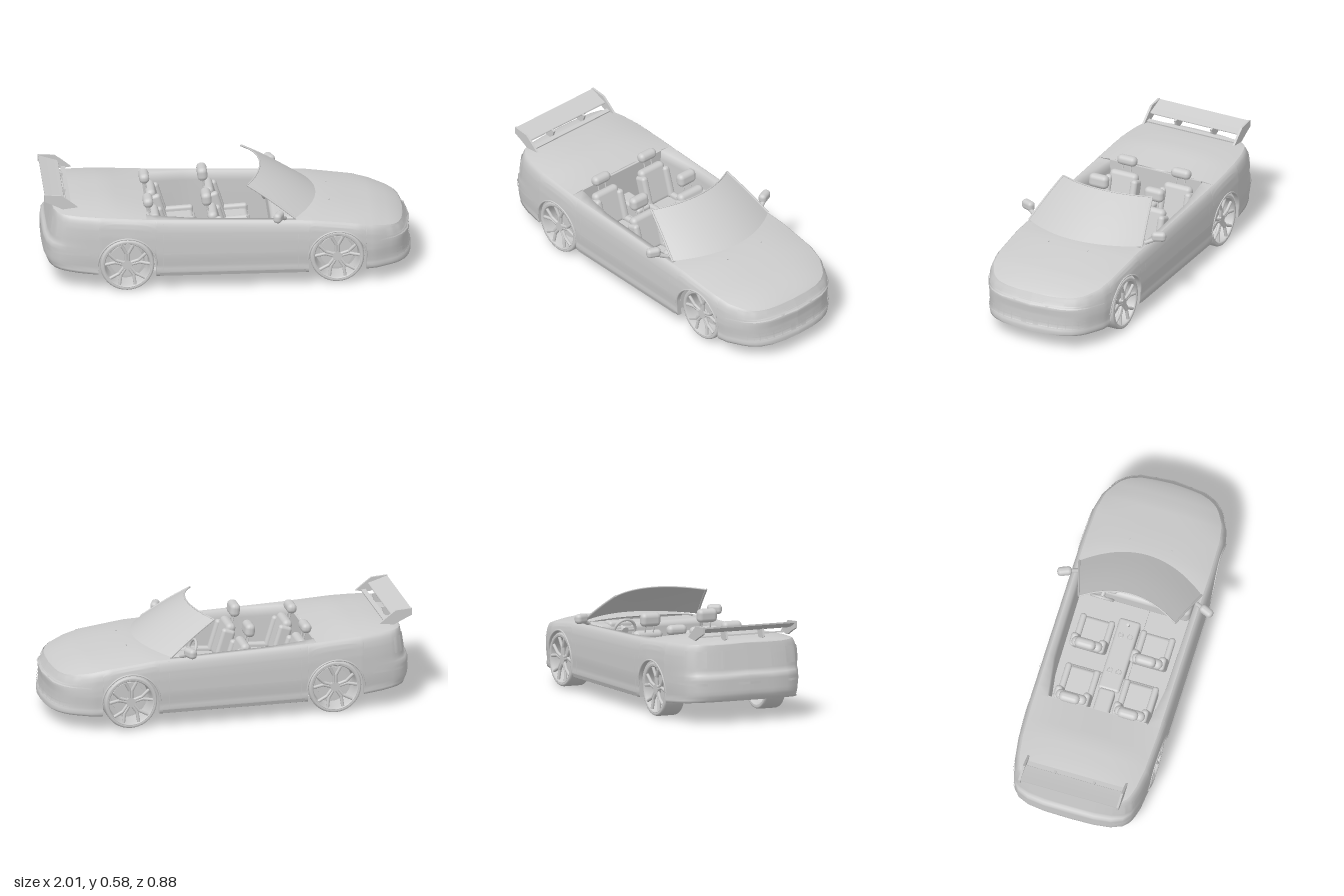
import * as THREE from 'three';
import { RoundedBoxGeometry } from 'three/addons/geometries/RoundedBoxGeometry.js';

const mat = new THREE.MeshStandardMaterial({ color: 0xcccccc, side: THREE.DoubleSide });
const SIDES = [1, -1];
const V = (x, y, z) => new THREE.Vector3(x, y, z);

// piecewise linear curve through [x, value] pairs
const curve = pts => x => {
  if (x <= pts[0][0]) return pts[0][1];
  for (let i = 1; i < pts.length; i++) {
    const [a, va] = pts[i - 1], [b, vb] = pts[i];
    if (x <= b) return va + (vb - va) * (x - a) / (b - a);
  }
  return pts[pts.length - 1][1];
};

// body curves along the length: half width, shoulder, crown, lower edge
const halfWidth = curve([[-1, 0], [-.997, .14], [-.985, .235], [-.96, .295], [-.92, .328], [-.85, .352], [-.7, .372], [-.5, .379],
  [.5, .379], [.7, .372], [.8, .352], [.9, .3], [.95, .25], [.98, .18], [.995, .1], [1, 0]]);
const shoulder = curve([[-1, .43], [-.95, .435], [-.7, .425], [-.45, .41], [-.2, .402], [.2, .39], [.45, .382], [.7, .352], [.85, .322], [.95, .306], [1, .302]]);
const crown = curve([[-1, .435], [-.96, .45], [-.8, .462], [-.65, .46], [-.45, .425], [.36, .405], [.48, .411], [.6, .398], [.8, .367], [.9, .341], [.96, .32], [1, .303]]);
const sill = curve([[-1, .125], [-.72, .1], [-.39, .085], [.42, .085], [1, .095]]);
const sideTuck = curve([[.085, .965], [.11, .99], [.13, .978], [.2, 1], [.5, 1]]);
const shoulderTuck = curve([[0, .925], [.008, .95], [.025, .975], [.05, .99], [.1, 1]]);
const noseX = curve([[.09, 0], [.12, 0], [.14, -.012], [.2, -.014], [.25, -.01], [.262, -.024], [.302, -.045]]);
const tailX = curve([[.12, .02], [.16, 0], [.26, 0], [.28, .022], [.43, .045]]);

// axles, with the offset of the left and right wheel of each
const AXLES = [{ x: -.555, y: .15, z: [.307, .3], name: 'rearWheel' }, { x: .583, y: .16, z: [.285, .31], name: 'frontWheel' }];
const ARCH = .156;
const lowerEdge = x => {
  for (const a of AXLES) {
    const d = Math.abs(x - a.x);
    if (d <= ARCH) return a.y + Math.sqrt(Math.max(0, ARCH * ARCH - d * d));
  }
  return sill(x);
};

// point on the body side at station x, height y
function skin(x, y, s, off = 0) {
  const e = Math.pow(Math.max(0, (Math.abs(x) - .7) / .3), 2);
  const z = halfWidth(x) * sideTuck(y) * shoulderTuck(Math.max(0, shoulder(x) - y));
  return V(x + e * ((x > 0 ? noseX : tailX)(y) + Math.sign(x) * off), y, s * (z + off * Math.min(1, z * 10)));
}

const steps = (a, b, n) => Array.from({ length: n + 1 }, (_, i) => a + (b - a) * i / n);
const archSteps = a => [a.x - ARCH - .0005, ...steps(0, Math.PI, 24).map(t => a.x - ARCH * Math.cos(t)), a.x + ARCH + .0005];
const TAIL = [-1, -.997, -.985, -.96, -.92, -.88, -.82, -.76];
const NOSE = [.77, .8, .84, .88, .91, .935, .955, .97, .98, .988, .995, 1];

export function createModel() {
  const car = new THREE.Group();
  car.name = 'convertibleCar';

  const add = (name, geo, pos = [0, 0, 0], rot = [0, 0, 0], parent = car) => {
    const m = new THREE.Mesh(geo, mat);
    m.name = name;
    m.position.set(...pos);
    m.rotation.set(...rot);
    parent.add(m);
    return m;
  };
  const box = (name, size, pos, rot, parent) => add(name, new THREE.BoxGeometry(...size), pos, rot, parent);
  const soft = (name, size, r, pos, rot, parent) => add(name, new RoundedBoxGeometry(...size, 3, r), pos, rot, parent);
  const bar = (name, a, b, r, parent) => {
    const m = add(name, new THREE.CylinderGeometry(r, r, a.distanceTo(b), 8), a.clone().lerp(b, .5).toArray(), [0, 0, 0], parent);
    m.quaternion.setFromUnitVectors(V(0, 1, 0), b.clone().sub(a).normalize());
  };
  const tube = (name, pts, r) => add(name, new THREE.TubeGeometry(new THREE.CatmullRomCurve3(pts), 20, r, 8));
  // smooth sheet over two lists of parameters
  const sheet = (name, us, vs, fn) => {
    const pos = [], idx = [], n = vs.length;
    us.forEach((u, i) => vs.forEach((v, j) => {
      pos.push(...fn(u, v).toArray());
      if (i && j) {
        const d = i * n + j, c = d - 1, b = d - n, a = b - 1;
        idx.push(a, c, b, b, c, d);
      }
    }));
    const g = new THREE.BufferGeometry();
    g.setAttribute('position', new THREE.Float32BufferAttribute(pos, 3));
    g.setIndex(idx);
    g.computeVertexNormals();
    return add(name, g);
  };
  const patch = (name, x0, x1, y0, y1, s, off = .004) =>
    sheet(name, steps(x0, x1, 10), steps(0, 1, 4), (x, t) => skin(x, y0 + (Math.min(y1, shoulder(x) - .006) - y0) * t, s, off));

  // body sides, nose and tail, with an inward flange along the lower edge
  const stations = [...TAIL, ...archSteps(AXLES[0]), ...steps(-.37, .4, 12), ...archSteps(AXLES[1]), ...NOSE];
  const levels = [-1, 0, .04, .09, .14, .2, .3, .38, .44, .475, .51, .56, .6, .66, .74, .79, .82, .89, .94, .975, 1];
  for (const s of SIDES) sheet('bodySide', stations, levels, (x, t) => {
    const b = lowerEdge(x), p = skin(x, b + (shoulder(x) - b) * Math.max(0, t), s);
    if (t < 0) p.z *= .94;
    return p;
  });

  // bonnet and boot lid
  const deck = (x, v) => {
    const p = skin(x, shoulder(x), 1);
    p.y += (crown(x) - p.y) * (1 - Math.pow(Math.abs(v), 2.6));
    p.z *= v;
    return p;
  };
  sheet('bonnet', [...steps(.36, .74, 8), ...NOSE], steps(-1, 1, 24), deck);
  sheet('bootLid', [...TAIL, ...steps(-.7, -.45, 5)], steps(-1, 1, 24), deck);

  // windscreen and its frame
  const glass = (u, v) => V(
    THREE.MathUtils.lerp(.485 - .13 * v * v, .185 - .085 * v * v, u),
    THREE.MathUtils.lerp(.411 - .016 * v * v, .584 - .02 * v * v, u) + .006 * Math.sin(u * Math.PI),
    v * THREE.MathUtils.lerp(.345, .272, u));
  sheet('windscreen', steps(0, 1, 8), steps(-1, 1, 20), glass);
  tube('windscreenHeader', steps(-1, 1, 8).map(v => glass(1, v)), .004);
  for (const s of SIDES) {
    tube('windscreenPillar', steps(0, 1, 6).map(u => glass(u, s)), .006);
    add('washerJet', new THREE.SphereGeometry(.004, 8, 6), [.55, .405, s * .12]);
  }

  // cockpit tub
  const innerZ = curve([[-.45, .275], [-.2, .312], [.4, .318]]);
  for (const s of SIDES) {
    sheet('doorTrim', steps(-.45, .38, 14), [0, 1, 2, 3], (x, r) => {
      const top = skin(x, shoulder(x), s);
      return r === 0 ? top : V(x, [0, top.y, top.y - .05, .095][r], s * (innerZ(x) + [0, .008, 0, 0][r]));
    });
    box('floor', [.82, .012, .26], [-.02, .095, s * .2]);
  }
  box('tunnel', [.82, .012, .15], [-.02, .13, 0]);
  box('rearBulkhead', [.012, .32, .56], [-.45, .255, 0]);
  box('firewall', [.012, .29, .64], [.385, .24, 0]);
  soft('rearBench', [.3, .1, .52], .02, [-.3, .15, 0]);
  soft('dashboard', [.17, .13, .63], .03, [.31, .325, 0]);
  soft('instrumentHood', [.08, .04, .15], .018, [.27, .385, -.17]);
  soft('centreConsole', [.42, .1, .12], .015, [-.04, .17, 0]);
  soft('rearArmrest', [.18, .09, .09], .015, [-.35, .22, 0]);
  for (const x of [-.14, .07]) for (const s of SIDES)
    add('cupHolder', new THREE.TorusGeometry(.013, .003, 6, 16), [x, .222, s * .025], [Math.PI / 2, 0, 0]);
  bar('gearLever', V(.14, .2, 0), V(.12, .27, 0), .008);

  // steering wheel on a tilted column
  const steering = new THREE.Group();
  steering.name = 'steeringWheel';
  steering.position.set(.2, .36, -.17);
  steering.rotation.set(0, Math.PI / 2, .35, 'ZYX');
  car.add(steering);
  add('steeringRim', new THREE.TorusGeometry(.062, .008, 8, 28), [0, 0, 0], [0, 0, 0], steering);
  add('steeringHub', new THREE.CylinderGeometry(.02, .02, .02, 16), [0, 0, 0], [Math.PI / 2, 0, 0], steering);
  for (const a of [0, Math.PI, -Math.PI / 2]) bar('steeringSpoke', V(0, 0, 0), V(.06 * Math.cos(a), .06 * Math.sin(a), 0), .006, steering);
  bar('steeringColumn', V(0, 0, 0), V(0, 0, .1), .012, steering);

  // four seats
  const seat = (name, x, z, len, backTop, headH) => {
    const g = new THREE.Group();
    g.name = name;
    g.position.set(x, 0, z);
    car.add(g);
    const h = backTop - .18, tilt = .3;
    soft('seatBase', [len, .1, .18], .02, [len / 2 - .01, .155, 0], [0, 0, .06], g);
    soft('backrest', [.055, h, .17], .025, [-.035, .18 + h / 2, 0], [0, 0, tilt], g);
    for (const s of SIDES) {
      soft('cushionBolster', [len, .05, .035], .016, [len / 2 - .01, .205, s * .08], [0, 0, .06], g);
      soft('backBolster', [.075, h * .85, .04], .018, [-.022, .18 + h * .45, s * .078], [0, 0, tilt], g);
      bar('headrestPost', V(-.075, backTop - .03, s * .025), V(-.09, backTop + .03, s * .025), .004, g);
    }
    soft('headrest', [.055, headH, .115], .025, [-.092, backTop + .022 + headH / 2, 0], [0, 0, .1], g);
  };
  for (const s of SIDES) {
    seat('frontSeat', -.025, s * .17, .17, .4, .075);
    seat('rearSeat', -.34, s * .165, .19, .395, .055);
  }

  // wheels: tyre, rim barrel, five forked spokes and brake disc
  const lathe = pts => new THREE.LatheGeometry(pts.map(p => new THREE.Vector2(...p)), 40).rotateX(Math.PI / 2);
  const tyreGeo = lathe([[.124, -.058], [.136, -.06], [.143, -.057], [.146, -.048], [.146, .048], [.143, .057], [.136, .06], [.129, .058]]);
  const rimGeo = lathe([[.129, .058], [.125, .06], [.121, .052], [.117, .03], [.114, -.045], [.124, -.058]]);
  for (const a of AXLES) SIDES.forEach((s, side) => {
    const w = new THREE.Group();
    w.name = a.name;
    w.position.set(a.x, a.y, s * a.z[side]);
    if (s < 0) w.rotation.y = Math.PI;
    car.add(w);
    add('tyre', tyreGeo, [0, 0, 0], [0, 0, 0], w);
    add('rim', rimGeo, [0, 0, 0], [0, 0, 0], w);
    const disc = (name, r, h, z) => add(name, new THREE.CylinderGeometry(r, r, h, 32), [0, 0, z], [Math.PI / 2, 0, 0], w);
    disc('brakeDisc', .09, .012, -.02);
    disc('hub', .026, .022, .04);
    disc('axleStub', .025, .03, -.03);
    for (let k = 0; k < 5; k++) {
      const t = k * Math.PI * .4 + Math.PI / 2, polar = (r, o, z) => V(r * Math.cos(t + o), r * Math.sin(t + o), z);
      for (const f of SIDES) {
        bar('spoke', polar(.018, f * .3, .042), polar(.07, f * .1, .045), .009, w);
        bar('spokeFork', polar(.068, f * .1, .045), polar(.121, f * .27, .05), .009, w);
      }
    }
    // arch lip
    tube('archLip', steps(0, Math.PI, 16).map(t => skin(a.x + (ARCH + .004) * Math.cos(t), a.y + (ARCH + .004) * Math.sin(t), s)), .005);
  });

  for (const s of SIDES) {
    // lights, grille, intake and rear panel
    patch('headlight', .86, .975, .265, .5, s);
    patch('tailLight', -.985, -.9, .31, .4, s);
    patch('rearPanel', -1, -.995, .3, .4, s, .003);
    patch('rearBumperStrip', -1, -.76, .215, .228, s, .005);
    patch('frontBumperStrip', .8, 1, .25, .256, s, .004);
    for (let k = 0; k < 5; k++) patch('grilleSlat', .9965 - k * .0006, 1, .264 + k * .008, .268 + k * .008, s, .006);
    for (const y of [.136, .156, .176]) patch('intakeSlat', .91, 1, y, y + .005, s, .008);
    for (const x of [.91, .935, .955, .97, .983, .993, .9975]) patch('intakeUpright', x, x + .0015, .136, .181, s, .008);
    // side mouldings, door seams, handle and skirt
    for (const [x0, x1] of [[-.36, -.02], [.01, .36]]) patch('sideMoulding', x0, x1, .215, .225, s, .004);
    for (const x of [-.36, .37]) patch('doorSeam', x, x + .003, .11, .39, s, .001);
    patch('doorHandle', -.32, -.25, .325, .337, s, .006);
    patch('sideSkirt', -.38, .41, .088, .108, s, .006);

    // door mirror
    soft('mirrorHousing', [.045, .054, .08], .02, [.262, .428, s * .4], [0, s * -.4, 0]);
    bar('mirrorArm', V(.3, .392, s * .335), V(.275, .415, s * .385), .012);

    // wing end plates and stands
    const plate = new THREE.Shape([[-1, .54], [-.91, .534], [-.87, .505], [-.82, .465], [-.9, .455], [-.95, .48], [-1, .502]].map(p => new THREE.Vector2(...p)));
    add('wingEndPlate', new THREE.ExtrudeGeometry(plate, { depth: .012, bevelEnabled: false }), [0, 0, s * .277 - .006]);
    box('wingStand', [.06, .06, .012], [-.91, .478, s * .11], [0, 0, -.3]);
  }

  // wing blade and lower lip
  const blade = new THREE.Shape();
  blade.moveTo(-.997, .538);
  blade.quadraticCurveTo(-.93, .515, -.892, .505);
  blade.quadraticCurveTo(-.885, .495, -.9, .493);
  blade.quadraticCurveTo(-.95, .5, -.997, .53);
  add('wingBlade', new THREE.ExtrudeGeometry(blade, { depth: .55, bevelEnabled: false }), [0, 0, -.275]);
  box('wingLowerLip', [.025, .008, .55], [-.865, .466, 0], [0, 0, -.15]);
  return car;
}
